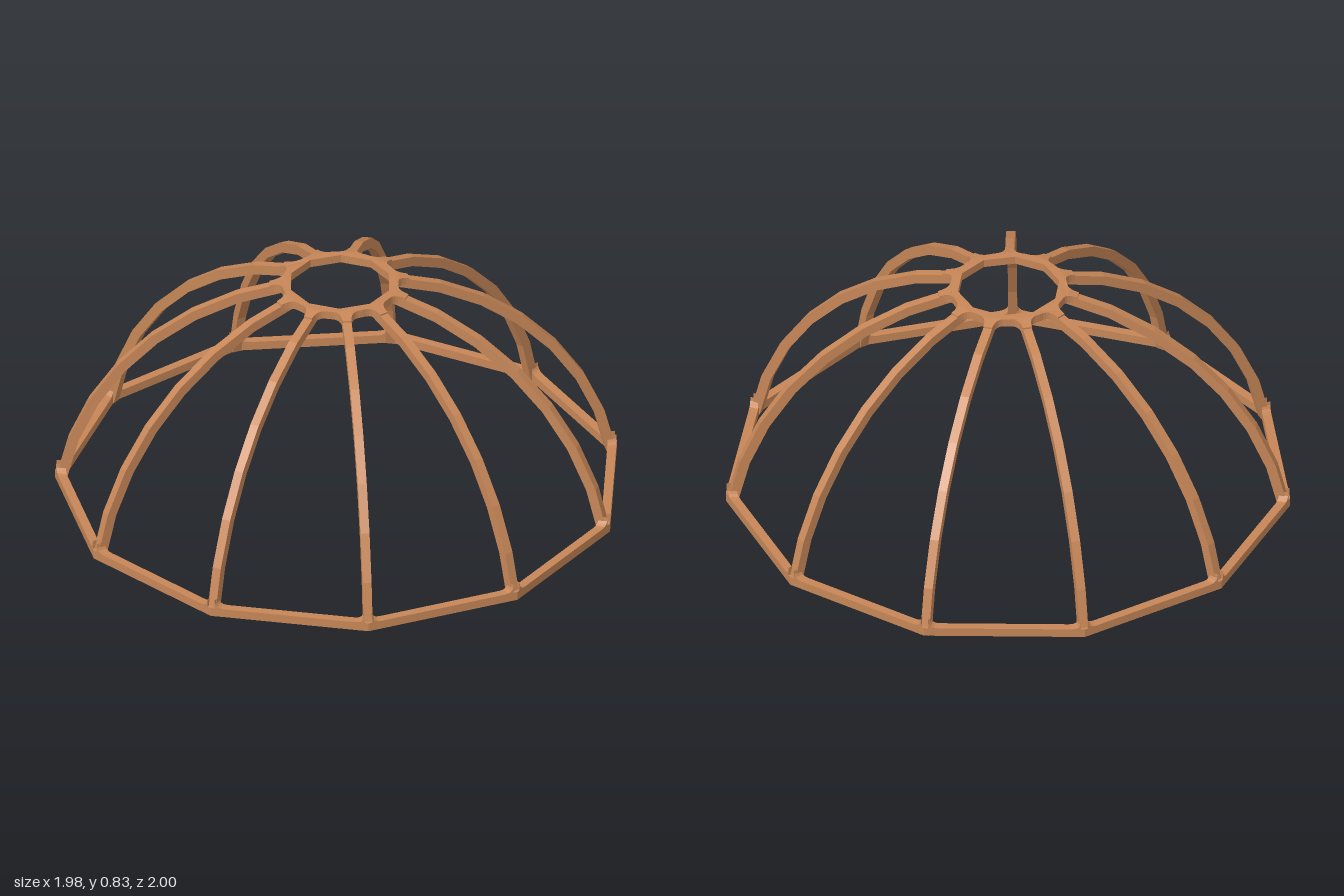
import * as THREE from 'three';

const SIDES = 11;
const STEP = (Math.PI * 2) / SIDES;
const R = 1.008;          // corner radius of the base
const BAR = 0.032;        // timber width
const RIB_DEPTH = 0.036;  // radial depth of a rib
const SPHERE = 1.022, DROP = 0.169; // dome sphere and how far its centre lies below ground
const RING_IN = 0.182, RING_OUT = 0.207, RING_TOP = 0.835, RING_H = 0.03;

// Curved rib profile in the radius/height plane, extruded to the timber width
function ribGeometry() {
  const segments = 7;
  const arc = (radius) => {
    const a0 = Math.asin(DROP / radius), a1 = Math.acos(0.2 / radius);
    const pts = [];
    for (let i = 0; i <= segments; i++) {
      const a = a0 + ((a1 - a0) * i) / segments;
      pts.push(new THREE.Vector2(radius * Math.cos(a) - 0.004, radius * Math.sin(a) - DROP));
    }
    return pts;
  };
  const outline = [...arc(SPHERE), ...arc(SPHERE - RIB_DEPTH).reverse()];
  const g = new THREE.ExtrudeGeometry(new THREE.Shape(outline), { depth: BAR, bevelEnabled: false });
  g.translate(0, 0, -BAR / 2);
  return g;
}

// Base bar with a small concave fillet at each end and mitred corners
function baseBarGeometry() {
  const apothem = R * Math.cos(STEP / 2), half = R * Math.sin(STEP / 2);
  const h = 0.032, top = h + 0.032, e = half - 0.014, f = e - 0.034;
  const s = new THREE.Shape();
  s.moveTo(-half, 0);
  s.lineTo(half, 0);
  s.lineTo(half, h);
  s.lineTo(e, h);
  s.lineTo(e, top);
  s.quadraticCurveTo(e, h, f, h);
  s.lineTo(-f, h);
  s.quadraticCurveTo(-e, h, -e, top);
  s.lineTo(-e, h);
  s.lineTo(-half, h);
  const g = new THREE.ExtrudeGeometry(s, { depth: BAR, bevelEnabled: false, curveSegments: 4 });
  g.translate(0, 0, apothem - BAR);
  const p = g.attributes.position;
  for (let i = 0; i < p.count; i++) p.setX(i, (p.getX(i) * p.getZ(i)) / apothem);
  g.rotateY(Math.PI / 2);
  g.computeVertexNormals();
  return g;
}

// Crown ring whose outer edge flares into every rib
function crownGeometry() {
  const polar = (r, a) => new THREE.Vector2(r * Math.cos(a), r * Math.sin(a));
  const s = new THREE.Shape();
  const tip = 0.25, tipA = (BAR / 2) / tip, rootA = 0.21;
  for (let k = 0; k < SIDES; k++) {
    const a = k * STEP;
    const root0 = polar(RING_OUT, a - rootA), root1 = polar(RING_OUT, a + rootA);
    const bend0 = polar(RING_OUT + 0.004, a - 0.08), bend1 = polar(RING_OUT + 0.004, a + 0.08);
    const tip0 = polar(tip, a - tipA), tip1 = polar(tip, a + tipA);
    if (k === 0) s.moveTo(root0.x, root0.y);
    else s.lineTo(root0.x, root0.y);
    s.quadraticCurveTo(bend0.x, bend0.y, tip0.x, tip0.y);
    s.lineTo(tip1.x, tip1.y);
    s.quadraticCurveTo(bend1.x, bend1.y, root1.x, root1.y);
    const mid = polar(RING_OUT, a + STEP / 2);
    s.lineTo(mid.x, mid.y);
  }
  s.closePath();
  const hole = new THREE.Path();
  hole.absarc(0, 0, RING_IN, 0, Math.PI * 2, true);
  s.holes.push(hole);
  const g = new THREE.ExtrudeGeometry(s, { depth: RING_H, bevelEnabled: false, curveSegments: 5 });
  g.rotateX(-Math.PI / 2);
  g.translate(0, RING_TOP - RING_H, 0);
  // the flared tips follow the fall of the ribs
  const p = g.attributes.position;
  for (let i = 0; i < p.count; i++) {
    const r = Math.hypot(p.getX(i), p.getZ(i));
    if (r > RING_OUT) p.setY(i, p.getY(i) - (r - RING_OUT) * 0.26);
  }
  g.computeVertexNormals();
  return g;
}

export function createModel() {
  const model = new THREE.Group();
  model.name = 'domeFrame';
  const wood = new THREE.MeshStandardMaterial({ color: 0xc68657, flatShading: true });
  const frame = new THREE.Group();
  frame.name = 'frame';
  frame.position.x = -0.02; // odd number of sides, so the axis sits off the middle
  model.add(frame);

  const add = (name, geometry, angle) => {
    const mesh = new THREE.Mesh(geometry, wood);
    mesh.name = name;
    mesh.rotation.y = angle;
    frame.add(mesh);
  };

  const rib = ribGeometry(), bar = baseBarGeometry();
  for (let k = 0; k < SIDES; k++) {
    add('rib', rib, k * STEP);
    add('baseBar', bar, (k + 0.5) * STEP);
  }
  add('crownRing', crownGeometry(), 0);
  return model;
}
